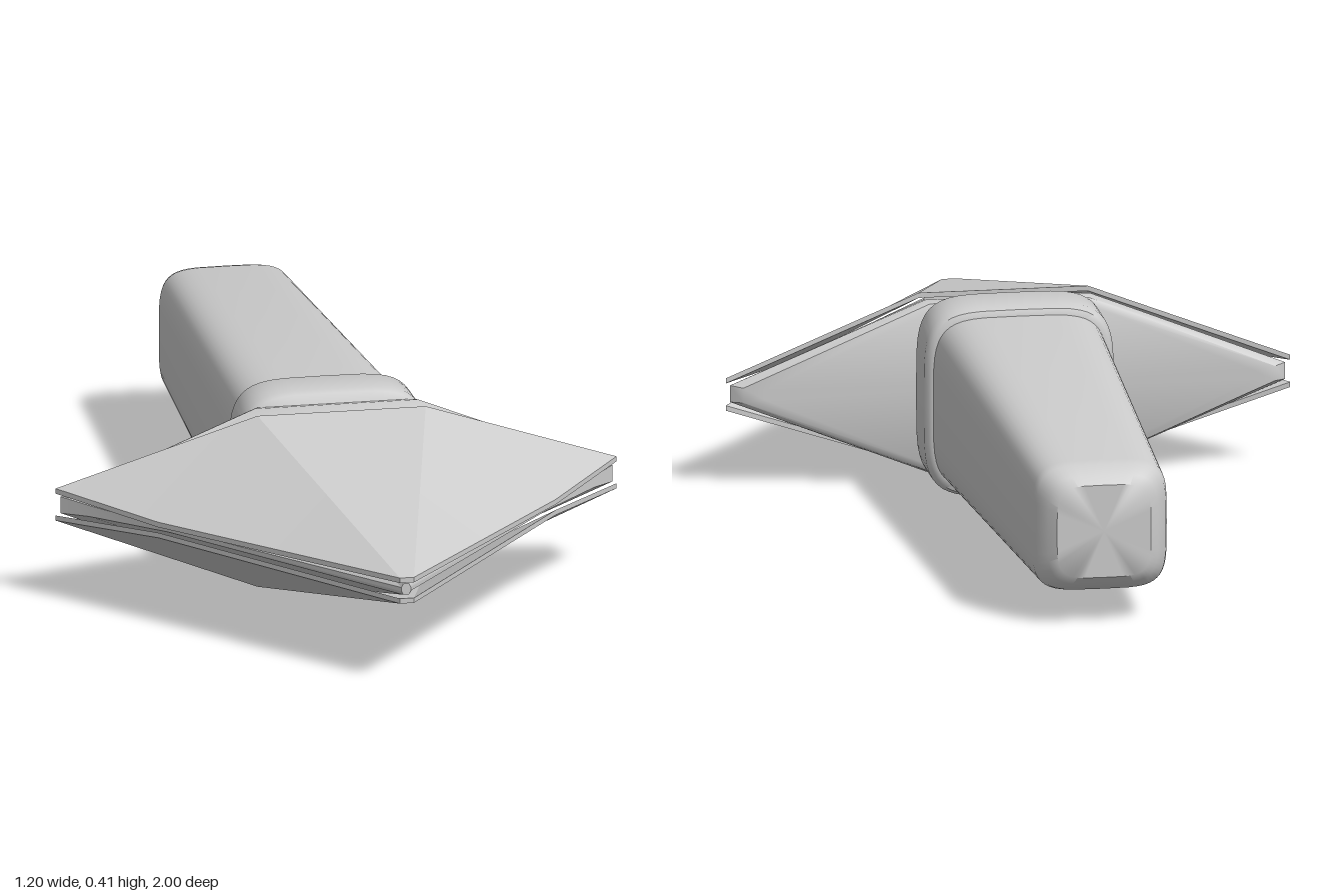
import * as THREE from 'three';
import { toCreasedNormals } from 'three/addons/utils/BufferGeometryUtils.js';

const MID = 0.207; // height of the horizontal symmetry plane
const material = new THREE.MeshStandardMaterial({ color: 0xcccccc });

// Mesh from a list of triangle corner points
function meshFrom(name, points, crease) {
  const geometry = new THREE.BufferGeometry().setFromPoints(points);
  const mesh = new THREE.Mesh(toCreasedNormals(geometry, crease), material);
  mesh.name = name;
  return mesh;
}

// Closed skin over rings running from back to front, capped at both ends
function loft(name, rings, crease) {
  const out = [];
  const n = rings[0].length;
  for (let i = 0; i < rings.length - 1; i++) {
    for (let j = 0; j < n; j++) {
      const k = (j + 1) % n;
      const [a, b, c, d] = [rings[i][j], rings[i][k], rings[i + 1][k], rings[i + 1][j]];
      out.push(a, b, c, a, c, d);
    }
  }
  const back = rings[0], front = rings[rings.length - 1];
  const backCentre = new THREE.Vector3(0, 0, back[0].z);
  const frontCentre = new THREE.Vector3(0, 0, front[0].z);
  for (let j = 0; j < n; j++) {
    const k = (j + 1) % n;
    out.push(backCentre, back[k], back[j], frontCentre, front[j], front[k]);
  }
  return meshFrom(name, out, crease);
}

// Soft square cross-section
function softSquare([z, hx, hy]) {
  const ring = [];
  const power = 2 / 4.6;
  for (let i = 0; i < 48; i++) {
    const t = (i / 48) * Math.PI * 2;
    const c = Math.cos(t), s = Math.sin(t);
    ring.push(new THREE.Vector3(
      hx * Math.sign(c) * Math.abs(c) ** power,
      hy * Math.sign(s) * Math.abs(s) ** power, z));
  }
  return ring;
}

// Flattened hexagonal cross-section: hx, edge = wing edge, ux, hy = ridge corner
function wingSection([z, hx, edge, ux, hy]) {
  return [[hx, -edge], [hx, edge], [ux, hy], [0, hy], [-ux, hy],
    [-hx, edge], [-hx, -edge], [-ux, -hy], [0, -hy], [ux, -hy]]
    .map(([x, y]) => new THREE.Vector3(x, y, z));
}

// Thin folded plate covering the upper half of the head
function bladePlate(name) {
  const half = [[0.015, 0.028, 1], [0.425, 0.017, 0.465], [0.6, 0.035, 0.24], [0.18, 0.187, 0.3]];
  const mirrored = half.map(([x, y, z]) => [-x, y, z]).reverse();
  const top = [...half, [0, 0.187, 0.3], ...mirrored].map((p) => new THREE.Vector3(...p));
  const bottom = top.map((p) => p.clone().add(new THREE.Vector3(0, -0.011, 0)));
  const out = [];
  const faces = [[1, 2, 3], [0, 1, 3], [0, 3, 4], [8, 0, 4], [8, 4, 5], [7, 8, 5], [6, 7, 5]];
  for (const [a, b, c] of faces) {
    out.push(top[a], top[b], top[c], bottom[a], bottom[c], bottom[b]);
  }
  for (let i = 0; i < top.length; i++) {
    const k = (i + 1) % top.length;
    out.push(bottom[i], bottom[k], top[k], bottom[i], top[k], top[i]);
  }
  return meshFrom(name, out, 0.4);
}

export function createModel() {
  const model = new THREE.Group();
  model.name = 'wedgeTool';
  model.position.y = MID;

  // Tapered handle with a bevelled end
  model.add(loft('handle', [
    [-1, 0.1, 0.1], [-0.985, 0.117, 0.117], [-0.96, 0.138, 0.135], [-0.94, 0.143, 0.14],
    [0.1, 0.186, 0.187],
  ].map(softSquare), 0.7));

  // Collar between handle and head
  model.add(loft('collar', [
    [0.08, 0.186, 0.187], [0.085, 0.195, 0.199], [0.1, 0.202, 0.206],
    [0.2, 0.202, 0.207], [0.215, 0.197, 0.202], [0.225, 0.185, 0.19],
  ].map(softSquare), 0.7));

  // Solid core of the head, narrowing to the point
  model.add(loft('headCore', [
    [0.218, 0.52, 0.01, 0.16, 0.17], [0.225, 0.565, 0.016, 0.168, 0.182],
    [0.245, 0.59, 0.018, 0.175, 0.186], [0.3, 0.54, 0.012, 0.17, 0.172],
    [0.47, 0.405, 0.004, 0.135, 0.133], [0.99, 0.01, 0.004, 0.006, 0.012],
  ].map(wingSection), 0.7));

  // Upper and lower blade plates
  model.add(bladePlate('upperPlate'));
  const lower = bladePlate('lowerPlate');
  lower.rotation.z = Math.PI;
  model.add(lower);

  const root = new THREE.Group();
  root.add(model);
  return root;
}
